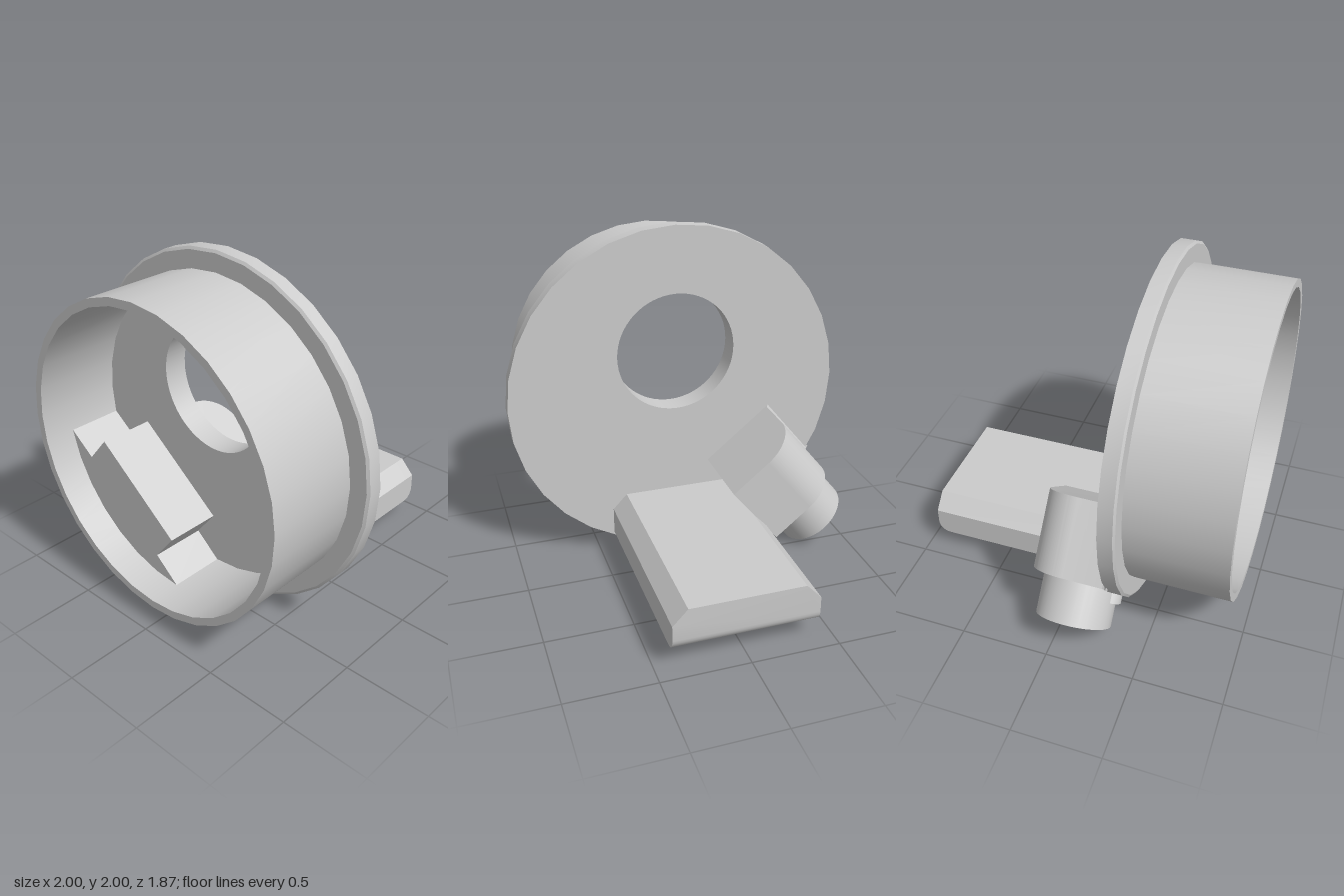
import * as THREE from 'three';
import { toCreasedNormals } from 'three/addons/utils/BufferGeometryUtils.js';

const SEG = 32;
const material = new THREE.MeshStandardMaterial({ color: 0xcccccc });

export function createModel() {
  const model = new THREE.Group();

  const add = (name, geometry) => {
    const mesh = new THREE.Mesh(toCreasedNormals(geometry, 0.5), material);
    mesh.name = name;
    model.add(mesh);
  };
  const extrude = (shape, depth, z = 0, steps = 1) =>
    new THREE.ExtrudeGeometry(shape, { depth, steps, bevelEnabled: false, curveSegments: SEG }).translate(0, 0, z);
  const polygon = (pts) => new THREE.Shape(pts.map(([x, y]) => new THREE.Vector2(x, y)));

  // Round collar: flange with a small front chamfer and a thin tube
  const profile = [[0.84, 0.3], [1, 0.3], [1, 0.38], [0.985, 0.39], [0.885, 0.39],
    [0.885, 0.94], [0.84, 0.94], [0.84, 0.3]].map(([r, y]) => new THREE.Vector2(r, y));
  add('collar', new THREE.LatheGeometry(profile, SEG).rotateX(Math.PI / 2).translate(0, 1, 0));

  // Floor of the collar with its off-centre hole
  const disc = new THREE.Shape().absarc(0, 1, 0.84, 0, Math.PI * 2);
  disc.holes.push(new THREE.Path().absarc(0, 1.25, 0.355, 0, Math.PI * 2));
  add('floorPlate', extrude(disc, 0.14, 0.3));

  // Stepped block against the inside wall
  const block = polygon([[-0.825, 0.84], [-0.67, 0.72], [-0.54, 0.87], [-0.02, 0.45], [-0.15, 0.29], [0, 0.16]]);
  block.absarc(0, 1, 0.84, -Math.PI / 2, Math.atan2(-0.16, -0.825), true);
  add('innerBlock', extrude(block, 0.33, 0.43));

  // Rear tongue: bevelled top edges, back bottom edge rounded by moving vertices
  const section = polygon([[-0.41, 0.11], [0.41, 0.11], [0.41, 0.27], [0.325, 0.36], [-0.325, 0.36], [-0.41, 0.27]]);
  const tongue = extrude(section, 7, 0, 7);
  const pos = tongue.attributes.position;
  for (let i = 0; i < pos.count; i++) {
    const k = Math.round(pos.getZ(i));
    const a = Math.max(0, (6 - k) / 6) * Math.PI / 2;
    pos.setZ(i, k === 7 ? 0.31 : -0.86 - 0.07 * Math.sin(a));
    if (pos.getY(i) < 0.12) pos.setY(i, 0.11 + 0.07 * (1 - Math.cos(a)));
  }
  add('tongue', tongue);

  // Tilted frame for the side mount: x along the block, y = depth, z outward
  const tilt = new THREE.Matrix4().makeBasis(
    new THREE.Vector3(0.775, -0.632, 0), new THREE.Vector3(0, 0, 1), new THREE.Vector3(-0.632, -0.775, 0));

  // Bracket with a rounded back corner and a small fillet at the flange
  const side = new THREE.Shape();
  side.moveTo(-0.48, 0.31);
  side.lineTo(-0.48, -0.17);
  side.lineTo(-0.75, -0.17);
  side.absarc(-0.75, 0.05, 0.22, -Math.PI / 2, -Math.PI, true);
  side.lineTo(-0.97, 0.27);
  side.quadraticCurveTo(-0.97, 0.3, -1, 0.305);
  side.lineTo(-1, 0.31);
  add('sideBracket', extrude(side, 0.44, -0.274).applyMatrix4(tilt));

  // Round knob and the small pin beside it
  const rod = (radius, from, to, x, y) => new THREE.CylinderGeometry(radius, radius, to - from, SEG)
    .rotateX(Math.PI / 2).translate(x, y, (from + to) / 2).applyMatrix4(tilt);
  add('knob', rod(0.212, 0, 0.41, -0.727, 0.1));
  add('pin', rod(0.065, 0.05, 0.265, -0.735, 0.28));

  return model;
}
